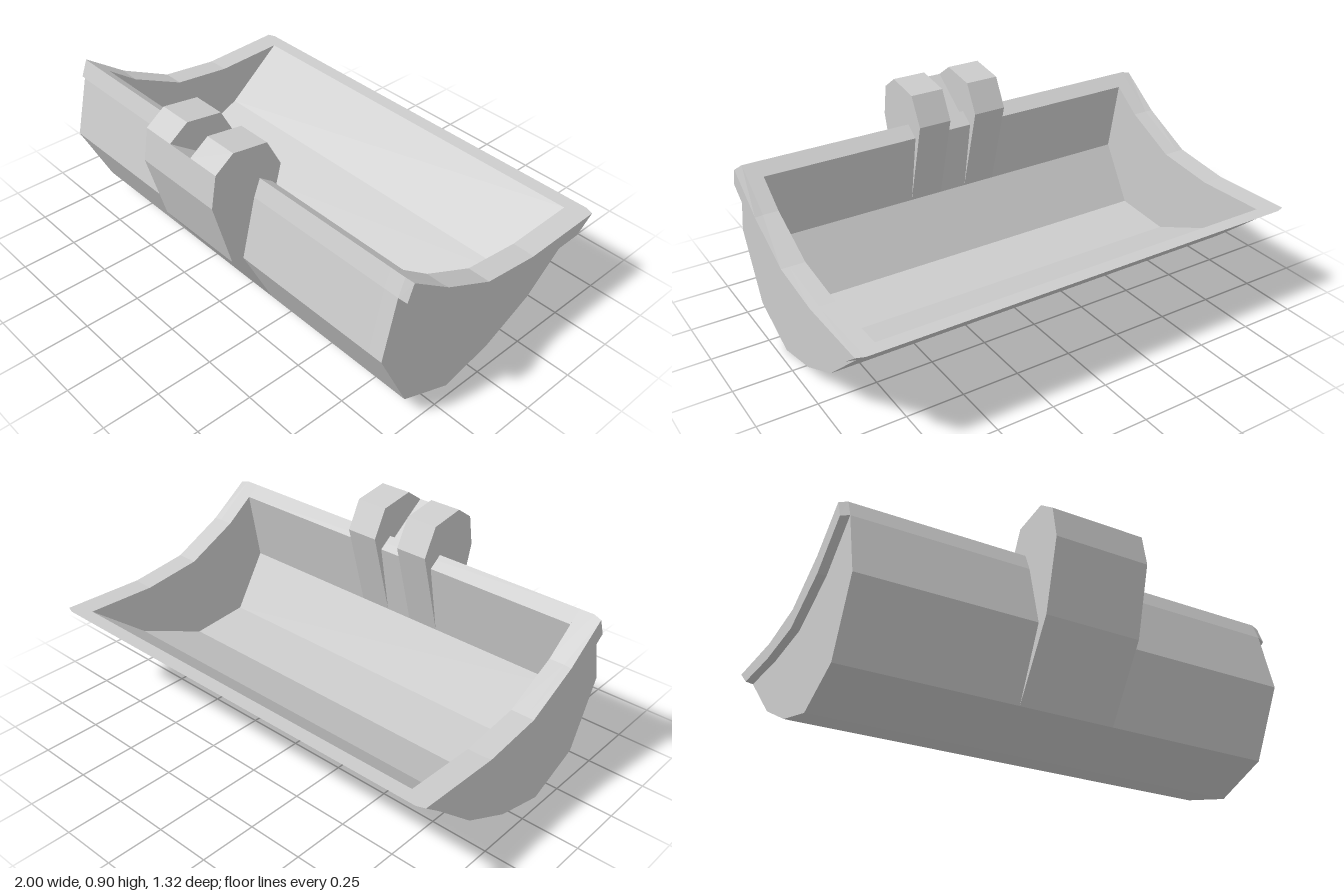
import * as THREE from 'three';

const material = new THREE.MeshStandardMaterial({ color: 0xcccccc, flatShading: true });

// Side profiles as [z, y] points
const rimTop = [[0.43, 0.73], [0.24, 0.59], [0, 0.475], [-0.27, 0.443], [-0.655, 0.455]];
const rimBottom = [[-0.57, 0.39], [-0.28, 0.377], [0, 0.393], [0.26, 0.505], [0.46, 0.655]];
const outer = [[-0.57, 0.39], [-0.32, 0.175], [-0.09, 0.06], [0.145, 0], [0.385, 0.1], [0.525, 0.39], [0.46, 0.655]];
const inner = [[0.37, 0.686], [0.43, 0.36], [0.275, 0.11], [0, 0.09], [-0.325, 0.235], [-0.592, 0.453]];
const lug = [[0.55, 0.9], [0.39, 0.875], [0.325, 0.75], [0.43, 0.36], [0.385, 0.1], [0.58, 0.4], [0.66, 0.7], [0.635, 0.84]];
const web = [[0.635, 0.84], [0.43, 0.69], [0.43, 0.36], [0.385, 0.1], [0.58, 0.4], [0.66, 0.7]];

// Extrudes a side profile across the width from x0 to x1
function slab(profile, x0, x1) {
  const shape = new THREE.Shape(profile.map(([z, y]) => new THREE.Vector2(z, y)));
  const geometry = new THREE.ExtrudeGeometry(shape, { depth: x1 - x0, bevelEnabled: false });
  return geometry.rotateY(-Math.PI / 2).translate(x1, 0, 0);
}

// Rim flange, its outer corners pulled in slightly
function flange(side) {
  const geometry = side > 0 ? slab([...rimTop, ...rimBottom], 0.965, 1) : slab([...rimTop, ...rimBottom], -1, -0.965);
  const p = geometry.attributes.position;
  for (let i = 0; i < p.count; i++) {
    if (Math.abs(p.getX(i)) < 0.99) continue;
    if (p.getZ(i) > 0.4) p.setY(i, p.getY(i) - 0.008);
    p.setZ(i, p.getZ(i) * 0.98);
  }
  geometry.computeVertexNormals();
  return geometry;
}

export function createModel() {
  const group = new THREE.Group();
  const add = (name, geometry) => {
    const mesh = new THREE.Mesh(geometry, material);
    mesh.name = name;
    group.add(mesh);
  };

  // Curved trough with floor, front wall and cutting edge
  add('trough', slab([rimTop[4], ...outer, rimTop[0], ...inner], -0.9, 0.9));

  // Side walls and the flanges around their top edges
  const wall = [...rimTop, ...outer];
  add('leftWall', slab(wall, 0.9, 0.965));
  add('rightWall', slab(wall, -0.965, -0.9));
  add('leftRimFlange', flange(1));
  add('rightRimFlange', flange(-1));

  // Hinge bracket: two lugs joined by a lower web
  add('leftLug', slab(lug, 0.06, 0.21));
  add('rightLug', slab(lug, -0.215, -0.065));
  add('lugWeb', slab(web, -0.065, 0.06));

  return group;
}
